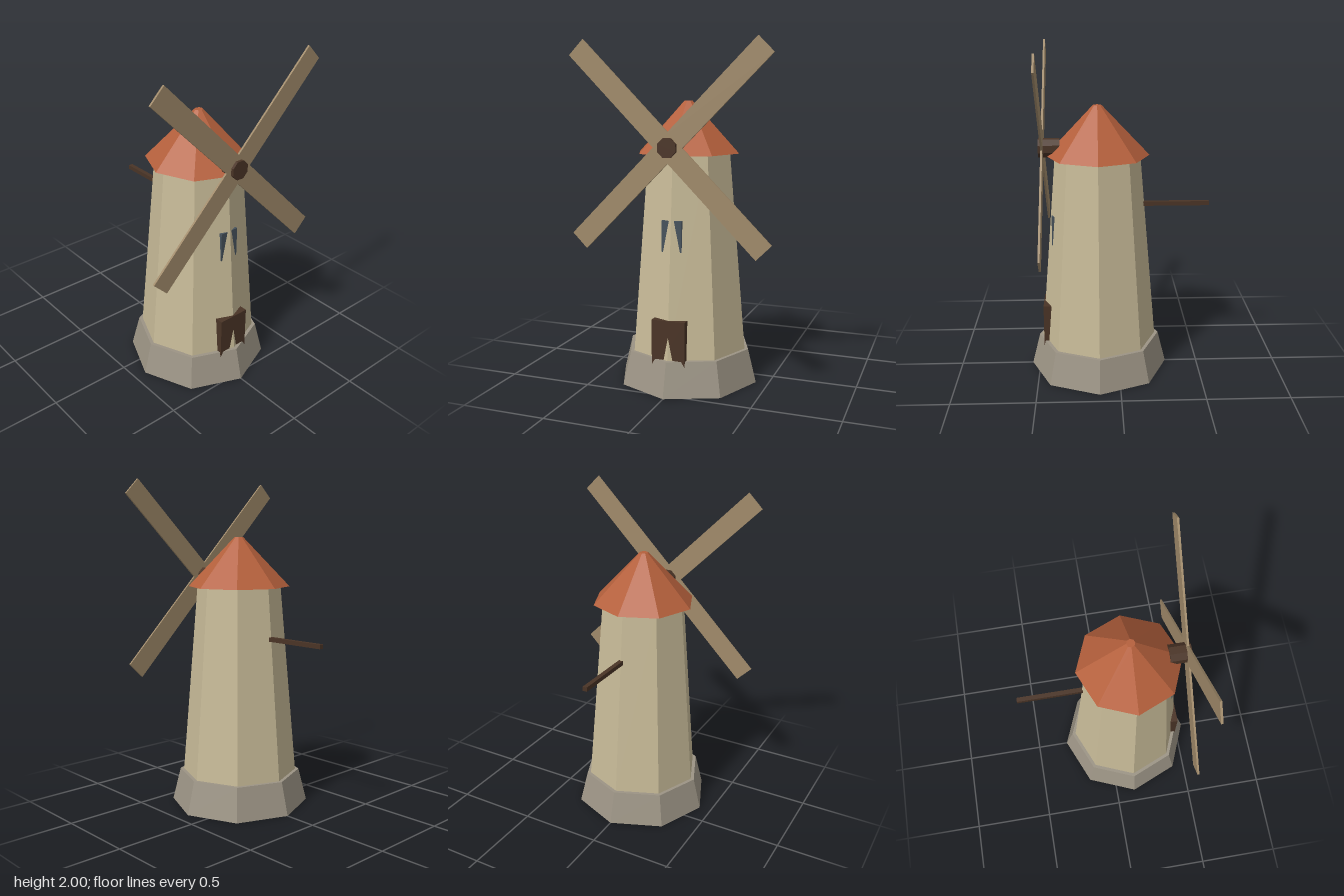
import * as THREE from 'three';

const TOWER_Z = 0.125; // tower axis; the tail pole balances it behind
const HUB_Y = 1.408;

const mat = (color) => new THREE.MeshStandardMaterial({ color, flatShading: true });

export function createModel() {
  const group = new THREE.Group();
  const stone = mat(0x9c9485), plaster = mat(0xc8bb98), tile = mat(0xb5603c);
  const darkWood = mat(0x4a3426), sailWood = mat(0xa08a6a), glass = mat(0x46525c);

  const add = (name, geometry, material, x, y, z) => {
    const mesh = new THREE.Mesh(geometry, material);
    mesh.name = name;
    mesh.position.set(x, y, z);
    group.add(mesh);
    return mesh;
  };

  // Eight-sided tapered section of the tower, standing from y0 to y1
  const section = (name, rBottom, rTop, y0, y1, material) =>
    add(name, new THREE.CylinderGeometry(rTop, rBottom, y1 - y0, 8), material, 0, (y0 + y1) / 2, TOWER_Z);

  // Box given by its extents, centred on x = 0
  const block = (name, width, y0, y1, z0, z1, material) =>
    add(name, new THREE.BoxGeometry(width, y1 - y0, z1 - z0), material, 0, (y0 + y1) / 2, (z0 + z1) / 2);

  // Tower
  section('base', 0.425, 0.375, 0, 0.2, stone);
  section('tower', 0.354, 0.255, 0.19, 1.365, plaster);
  section('roof', 0.31, 0.025, 1.36, 1.66, tile);

  // Door and window, partly sunk into the front corner of the tower
  block('door', 0.2, 0.1, 0.43, 0.417, 0.467, darkWood);
  block('window', 0.12, 0.815, 0.995, 0.375, 0.405, glass);

  // Tail pole at the back
  block('tailPole', 0.027, 1.046, 1.072, -0.55, -0.14, darkWood);

  // Hub, lying along z with a flat side up
  const hub = new THREE.CylinderGeometry(0.058, 0.058, 0.127, 8);
  hub.rotateY(Math.PI / 8).rotateX(Math.PI / 2);
  add('hub', hub, darkWood, 0, HUB_Y, 0.4125);

  // Four diagonal sails
  const sail = new THREE.BoxGeometry(0.122, 0.776, 0.012).translate(0, 0.388, 0);
  for (let i = 0; i < 4; i++) {
    const blade = add('sail' + (i + 1), sail, sailWood, 0, HUB_Y, 0.453);
    blade.rotation.z = Math.PI / 4 + (i * Math.PI) / 2;
  }

  return group;
}
